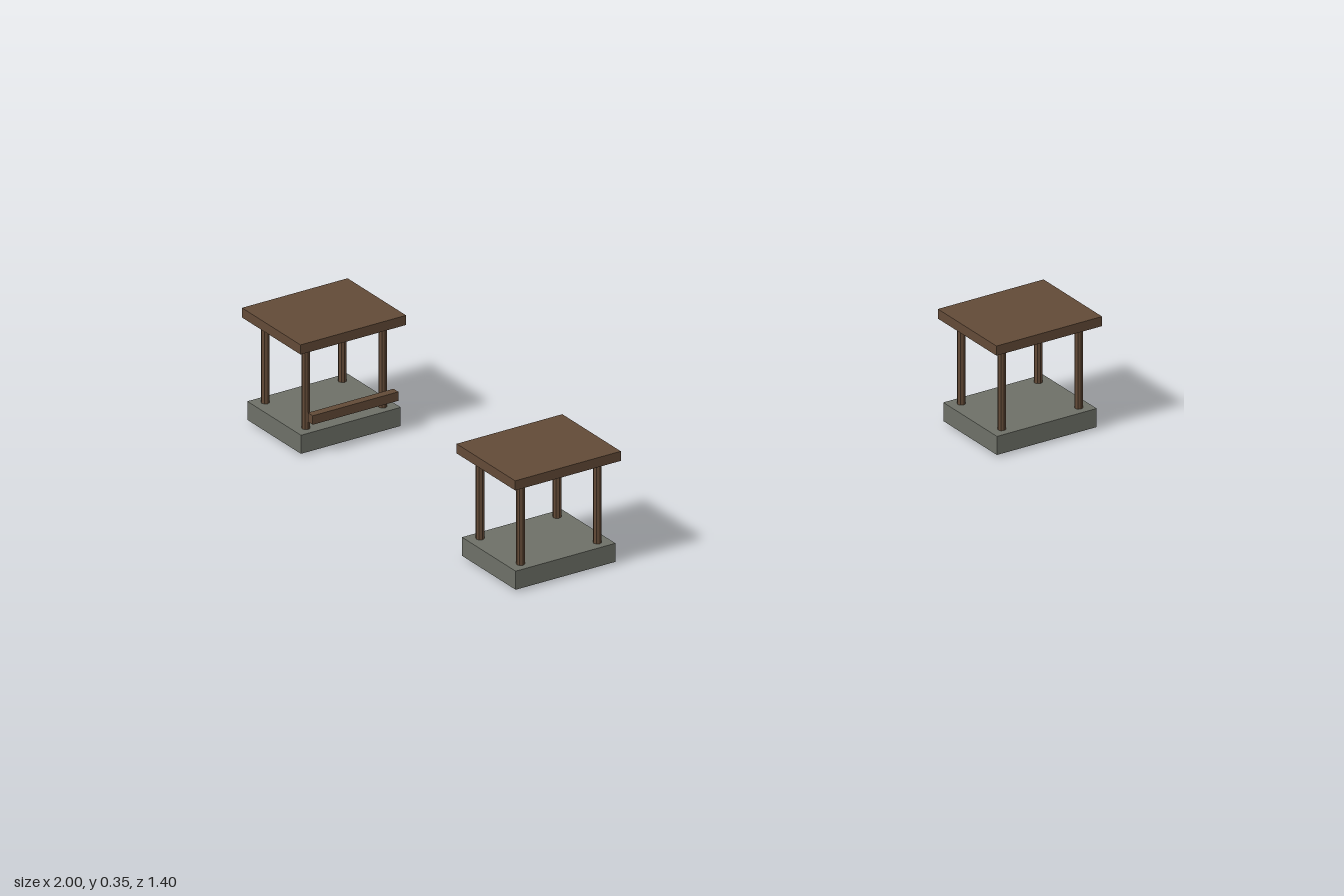
import * as THREE from 'three';

export function createModel() {
  const model = new THREE.Group();
  model.name = 'pavilions';

  const wood = new THREE.MeshStandardMaterial({ name: 'dark wood', color: 0x624a37, flatShading: true });
  const stone = new THREE.MeshStandardMaterial({ name: 'grey stone', color: 0x6d7067, flatShading: true });

  const baseGeometry = new THREE.BoxGeometry(0.34, 0.058, 0.275);
  const roofGeometry = new THREE.BoxGeometry(0.36, 0.03, 0.3);
  const postGeometry = new THREE.CylinderGeometry(0.0125, 0.0125, 0.33, 8);
  const railGeometry = new THREE.BoxGeometry(0.292, 0.028, 0.025);

  function add(parent, name, geometry, material, x, y, z) {
    const mesh = new THREE.Mesh(geometry, material);
    mesh.name = name;
    mesh.position.set(x, y, z);
    parent.add(mesh);
  }

  // Open shelter: stone slab, four corner posts, flat roof
  function shelter(name, x, z) {
    const group = new THREE.Group();
    group.name = name;
    group.position.set(x, 0, z);
    add(group, 'base', baseGeometry, stone, 0, 0.036, 0);
    add(group, 'roof', roofGeometry, wood, 0, 0.34, 0);
    for (const sx of [-1, 1]) {
      for (const sz of [-1, 1]) {
        // Posts pass through the slab down to the ground
        add(group, 'post', postGeometry, wood, sx * 0.131, 0.165, sz * 0.1035);
      }
    }
    model.add(group);
    return group;
  }

  shelter('frontRightShelter', -0.82, 0.55);
  shelter('frontLeftShelter', 0.82, 0.55);
  const back = shelter('backRightShelter', -0.82, -0.55);

  // Low rail in front of the back shelter
  add(back, 'frontRail', railGeometry, wood, 0, 0.115, 0.149);

  return model;
}
